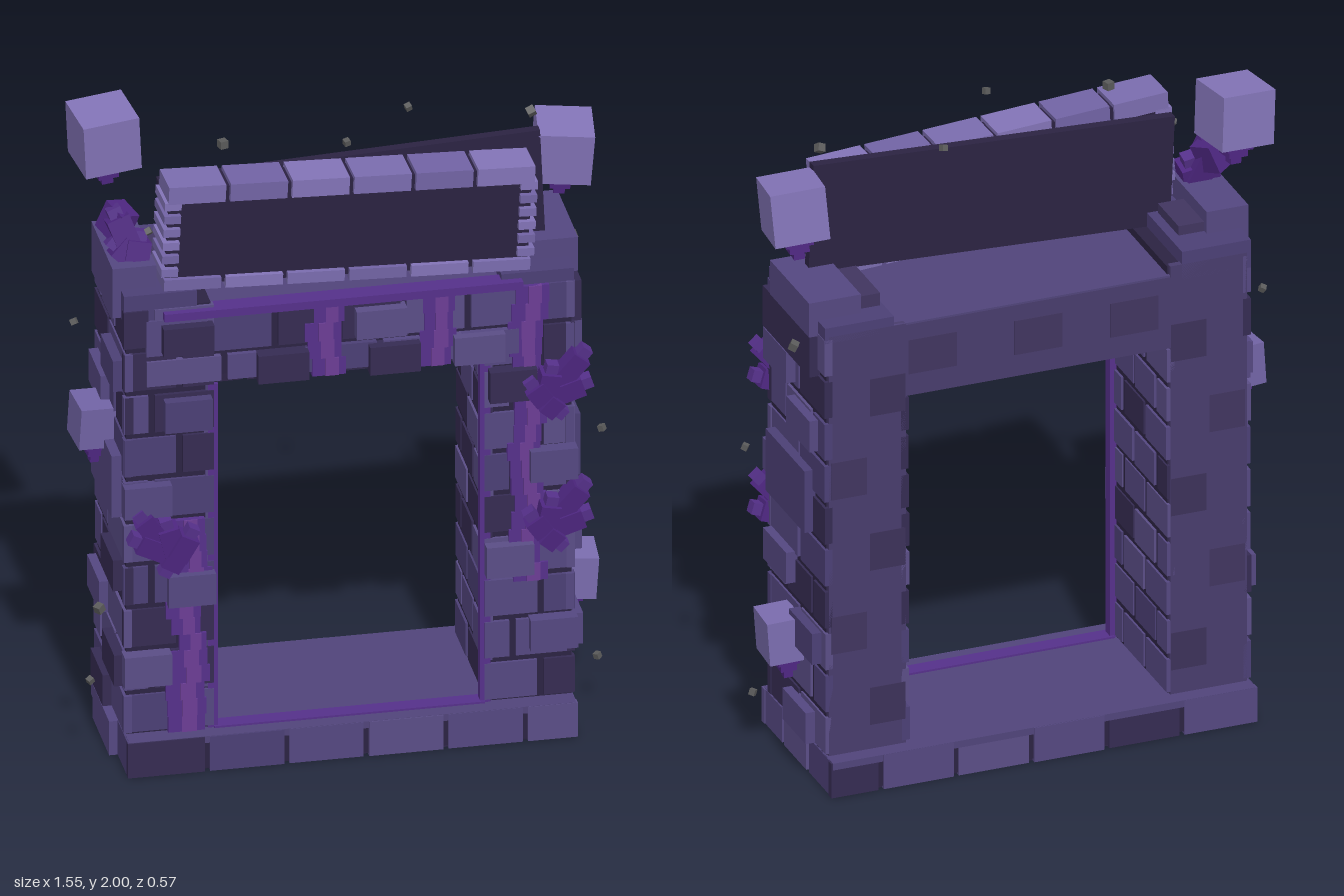
import * as THREE from 'three';

const mats = {};
const mat = (c) => (mats[c] ??= new THREE.MeshStandardMaterial({ color: c, flatShading: true }));
const cube = new THREE.BoxGeometry(1, 1, 1);
const MORTAR = 0x2b2342, BRICK = [0x544780, 0x4b3f75, 0x544780, 0x5a4d86, 0x352b52];
const DARK = [0x2d2445, 0x2a2140, 0x30274a], LIGHT = [0x7a6cae, 0x7163a4, 0x8273b6];
const STONE = 0x483c6c, CRYSTAL = 0x4d2680, GLOW = 0x55308a, VINE = 0x6b3d94;

let seed = 7;
const rand = () => (seed = (seed * 16807) % 2147483647) / 2147483647;
const pick = (list) => list[Math.floor(rand() * list.length)];

function group(parent, name, pos = [0, 0, 0], rot = [0, 0, 0]) {
  const g = new THREE.Group();
  g.name = name;
  g.position.set(...pos);
  g.rotation.set(...rot);
  parent.add(g);
  return g;
}

function box(parent, name, size, pos, color, rot = [0, 0, 0]) {
  const m = new THREE.Mesh(cube, mat(color));
  m.name = name;
  m.scale.set(...size);
  m.position.set(...pos);
  m.rotation.set(...rot);
  parent.add(m);
  return m;
}

// box given by its two corners
function span(parent, name, a, b, color) {
  return box(parent, name, a.map((v, i) => b[i] - v), a.map((v, i) => (v + b[i]) / 2), color);
}

// running-bond bricks on a flat face; axes are 0 = x, 1 = y, 2 = z
function wall(parent, name, [n, surface, sign], [u, u0, u1], [v, v0, v1], rows, length, colors = BRICK, gap = 0.02) {
  const g = group(parent, name), h = (v1 - v0) / rows;
  for (let r = 0; r < rows; r++) {
    let a = u0, b = u0 + length * (r % 2 ? 0.5 : 1);
    while (a < u1 - 0.02) {
      if (u1 - b < 0.05) b = u1;
      const size = [0, 0, 0], pos = [0, 0, 0];
      const first = a === u0 ? 0 : gap / 2, last = b === u1 ? 0 : gap / 2;
      size[u] = b - a - first - last;
      pos[u] = (a + first + b - last) / 2;
      size[v] = h - gap;
      pos[v] = v0 + (r + 0.5) * h;
      size[n] = 0.024;
      pos[n] = surface - sign * (0.012 + rand() * 0.004);
      box(g, 'brick', size, pos, pick(colors));
      a = b;
      b = Math.min(a + length, u1);
    }
  }
}

// shrinking plates hanging under a floating cube
function floatingCube(parent, name, pos, size, rot) {
  const g = group(parent, name, pos, rot);
  box(g, 'floatingBlock', [size, size, size], [0, 0, 0], pick(LIGHT));
  [0.5, 0.36, 0.2].forEach((w, i) =>
    box(g, 'crystalTip', [size * w, 0.026, size * w], [0, -size / 2 - 0.012 - i * 0.024, 0], CRYSTAL));
}

// fan of stubby crystals; each entry is [angle, length]
function crystalCluster(parent, name, pos, spikes, width = 0.06, rot = [0, 0, 0]) {
  const g = group(parent, name, pos, rot);
  spikes.forEach(([angle, length], i) => {
    const s = group(g, 'crystal', [0, 0, i * 0.006 - 0.01], [0.08, 0, angle]);
    box(s, 'crystalShaft', [width, length, width], [0, length / 2, 0], CRYSTAL);
    box(s, 'crystalCap', [width * 0.6, 0.035, width * 0.6], [0, length + 0.012, 0], GLOW);
  });
}

// stepped purple streak running down the front
function vine(parent, name, x, y0, y1, width) {
  const g = group(parent, name), n = Math.max(4, Math.round((y1 - y0) / 0.055)), h = (y1 - y0) / n;
  for (let i = 0; i < n; i++) {
    const cx = x + (rand() - 0.5) * 0.035, w = width * (0.65 + rand() * 0.35), y = y0 + (i + 0.5) * h;
    box(g, 'vineStep', [w, h, 0.03], [cx, y, 0.212], GLOW);
    box(g, 'vineCore', [w * 0.4, h, 0.03], [cx + 0.008, y, 0.216], VINE);
  }
}

export function createModel() {
  const root = new THREE.Group();
  root.name = 'ruinedGateway';

  // plinth with joints on its sides and a brick grid below
  const base = group(root, 'base');
  span(base, 'plinthCore', [-0.655, 0.008, -0.265], [0.655, 0.105, 0.265], MORTAR);
  span(base, 'plinthTop', [-0.66, 0.09, -0.272], [0.66, 0.112, 0.27], 0x50447a);
  for (const s of [1, -1]) {
    wall(base, 'plinthLongSide', [2, s * 0.275, s], [0, -0.665, 0.665], [1, -0.008, 0.119], 1, 0.235, BRICK, 0.016);
    wall(base, 'plinthEnd', [0, s * 0.665, s], [2, -0.27, 0.27], [1, -0.008, 0.119], 1, 0.19, BRICK, 0.016);
  }
  wall(base, 'plinthUnderside', [1, 0, -1], [0, -0.655, 0.655], [2, -0.27, 0.27], 4, 0.22, DARK);
  span(base, 'looseBaseBrick', [-0.69, 0, -0.12], [-0.64, 0.11, 0.12], BRICK[0]);

  // two brick pillars
  for (const s of [-1, 1]) {
    const p = group(root, s > 0 ? 'leftPillar' : 'rightPillar');
    const top = s > 0 ? 1.47 : 1.5, range = (a, b) => (s > 0 ? [a, b] : [-b, -a]);
    box(p, 'pillarCore', [0.25, top - 0.11, 0.42], [s * 0.533, (top + 0.1) / 2, 0], MORTAR);
    wall(p, 'pillarFront', [2, 0.222, 1], [0, ...range(0.4, 0.667)], [1, 0.11, top], 10, 0.165);
    wall(p, 'pillarOuterSide', [0, s * 0.667, s], [2, -0.222, 0.222], [1, 0.11, top], 10, 0.2);
    wall(p, 'pillarInnerSide', [0, s * 0.4, -s], [2, -0.222, 0.215], [1, 0.11, 1.24], 9, 0.17);
    box(p, 'pillarBack', [0.24, top - 0.11, 0.02], [s * 0.533, (top + 0.11) / 2, -0.212], STONE);
    for (let i = 0; i < 5; i++)
      box(p, 'backPatch', [0.11, 0.12, 0.006], [s * (0.47 + (i % 2) * 0.12), 0.25 + i * 0.25, -0.221], i % 2 ? 0x40355f : 0x3c3159);
    // bricks pushed out of the outer side and the front
    [[0.17, -0.05], [0.32, 0.12], [0.45, -0.1], [0.62, 0.1], [0.9, 0.02], [1.13, -0.08], [1.27, 0.1]].forEach(([y, z], i) =>
      box(p, 'looseSideBrick', [0.05, i === 4 ? 0.2 : 0.1, i === 4 ? 0.3 : 0.18], [s * 0.668, y, z], pick(BRICK)));
    [[0.33, 0.6], [0.58, 0.47], [0.88, 0.6], [1.15, 0.48]].forEach(([y, x]) =>
      box(p, 'looseFrontBrick', [0.14, 0.1, 0.05], [s * x, y, 0.228], pick(BRICK)));
  }

  // broken pillar tops
  const tops = group(root, 'pillarTops');
  span(tops, 'leftCapDark', [0.6, 1.32, -0.165], [0.69, 1.45, 0.2], 0x352b52);
  span(tops, 'leftCap', [0.53, 1.45, -0.165], [0.692, 1.56, 0.14], BRICK[0]);
  span(tops, 'leftCapRear', [0.45, 1.45, -0.222], [0.665, 1.5, 0.215], BRICK[1]);
  span(tops, 'leftCapStep', [0.46, 1.45, -0.14], [0.54, 1.54, 0.05], 0x40355f);
  span(tops, 'rightCap', [-0.69, 1.45, -0.14], [-0.56, 1.61, 0.17], BRICK[0]);
  span(tops, 'rightCapRear', [-0.665, 1.45, -0.222], [-0.45, 1.54, 0.215], BRICK[1]);
  span(tops, 'rightCapStep', [-0.57, 1.5, -0.12], [-0.48, 1.57, 0.04], 0x40355f);

  // lintel
  const lintel = group(root, 'lintel');
  span(lintel, 'lintelCore', [-0.6, 1.24, -0.21], [0.6, 1.46, 0.21], MORTAR);
  span(lintel, 'lintelTop', [-0.55, 1.445, -0.22], [0.55, 1.47, 0.2], 0x50447a);
  span(lintel, 'lintelBack', [-0.6, 1.235, -0.222], [0.6, 1.465, -0.2], STONE);
  wall(lintel, 'lintelUpperFront', [2, 0.225, 1], [0, -0.6, 0.55], [1, 1.33, 1.465], 1, 0.19);
  wall(lintel, 'lintelLowerFront', [2, 0.228, 1], [0, -0.6, 0.5], [1, 1.235, 1.335], 1, 0.23);
  wall(lintel, 'lintelUnderside', [1, 1.23, -1], [0, -0.41, 0.41], [2, -0.22, 0.22], 4, 0.2, DARK);
  [[-0.48, 1.395], [-0.2, 1.28], [0.09, 1.395], [0.13, 1.275], [0.38, 1.28]].forEach(([x, y]) =>
    box(lintel, 'looseLintelBrick', [0.15, 0.09, 0.05], [x, y, 0.23], pick(BRICK)));
  for (const x of [-0.3, 0.0, 0.33]) box(lintel, 'backPatch', [0.15, 0.11, 0.006], [x, 1.36, -0.222], 0x40355f);

  // purple trim lining the opening
  const trim = group(root, 'portalTrim');
  for (const s of [-1, 1]) box(trim, 'sideTrim', [0.03, 1.12, 0.035], [s * 0.402, 0.67, 0.2], GLOW);
  box(trim, 'floorTrim', [0.8, 0.012, 0.05], [0, 0.112, 0.2], GLOW);
  box(trim, 'upperTrim', [1.06, 0.025, 0.06], [-0.02, 1.47, 0.21], GLOW);

  const vines = group(root, 'vines');
  vine(vines, 'rightPillarVine', -0.475, 0.11, 0.8, 0.12);
  vine(vines, 'lintelVineA', -0.07, 1.23, 1.46, 0.12);
  vine(vines, 'lintelVineB', 0.26, 1.23, 1.46, 0.11);
  vine(vines, 'leftPillarVine', 0.53, 0.5, 1.46, 0.12);

  const crystals = group(root, 'crystals');
  crystalCluster(crystals, 'rightPillarCrystals', [-0.52, 0.7, 0.24], [[0.65, 0.16], [1.1, 0.12], [0.25, 0.1], [2.6, 0.04], [-0.5, 0.08]]);
  for (const y of [1.1, 0.67])
    crystalCluster(crystals, 'leftPillarCrystals', [0.57, y, 0.24], [[-0.7, 0.17], [-1.25, 0.12], [-0.2, 0.09], [0.6, 0.06], [-2.3, 0.05]]);
  crystalCluster(crystals, 'topCrystals', [-0.61, 1.6, 0.1], [[0.35, 0.14], [0.8, 0.07], [-0.2, 0.06]], 0.07, [-0.3, 0, 0]);
  box(crystals, 'topCrystalUpper', [0.07, 0.09, 0.08], [-0.65, 1.7, 0.04], CRYSTAL, [0.3, 0.4, -0.4]);

  // tilted sign with a light brick rim, and a crooked board behind it
  box(root, 'backBoard', [1.13, 0.345, 0.03], [0.035, 1.69, 0.065], MORTAR, [0, 0, 0.045]);
  const sign = group(root, 'sign', [0, 1.695, 0.15], [0, 0.027, -0.05]);
  box(sign, 'signPanel', [1.08, 0.31, 0.1], [0, 0, 0], 0x2a2140);
  for (let i = 0; i < 6; i++) {
    const x = -0.46 + i * 0.184;
    box(sign, 'rimTopBrick', [0.17, 0.055, 0.125], [x, 0.14, 0.004], LIGHT[i % 3]);
    box(sign, 'rimBottomBrick', [0.17, 0.035, 0.125], [x, -0.15, 0.004], LIGHT[(i + 1) % 3]);
  }
  for (const s of [-1, 1]) for (let i = 0; i < 6; i++)
    box(sign, 'rimSideBrick', [0.05, 0.025, 0.125], [s * 0.53, -0.11 + i * 0.043, 0.004], LIGHT[i % 3]);

  // floating cubes and debris
  floatingCube(root, 'floatingCubeTopRight', [-0.66, 1.905, -0.11], 0.17, [0.06, 0.12, 0.06]);
  floatingCube(root, 'floatingCubeTopLeft', [0.675, 1.79, 0], 0.165, [0.1, -0.13, -0.06]);
  floatingCube(root, 'floatingCubeLowLeft', [0.7, 0.415, 0.01], 0.135, [0.03, -0.08, -0.06]);
  floatingCube(root, 'floatingCubeMidRight', [-0.705, 1.04, 0], 0.13, [0.04, 0.08, -0.05]);
  const debris = group(root, 'debris');
  [[-0.35, 1.95, 0.1], [0, 1.96, 0.18], [0.23, 1.93, -0.06], [0.57, 1.94, 0.055], [-0.59, 1.74, 0.2], [-0.75, 1.31, -0.1],
    [0.73, 1.42, -0.14], [0.755, 0.95, 0.175], [0.753, 0.18, 0.12], [-0.737, 0.53, 0.21], [-0.757, 0.28, 0.175]].forEach((p, i) =>
    box(debris, 'pebble', Array(3).fill(i % 3 ? 0.018 : 0.024), p, 0x5a5a5a, [0.2 * i, 0.3, 0.1 * i]));

  return root;
}
